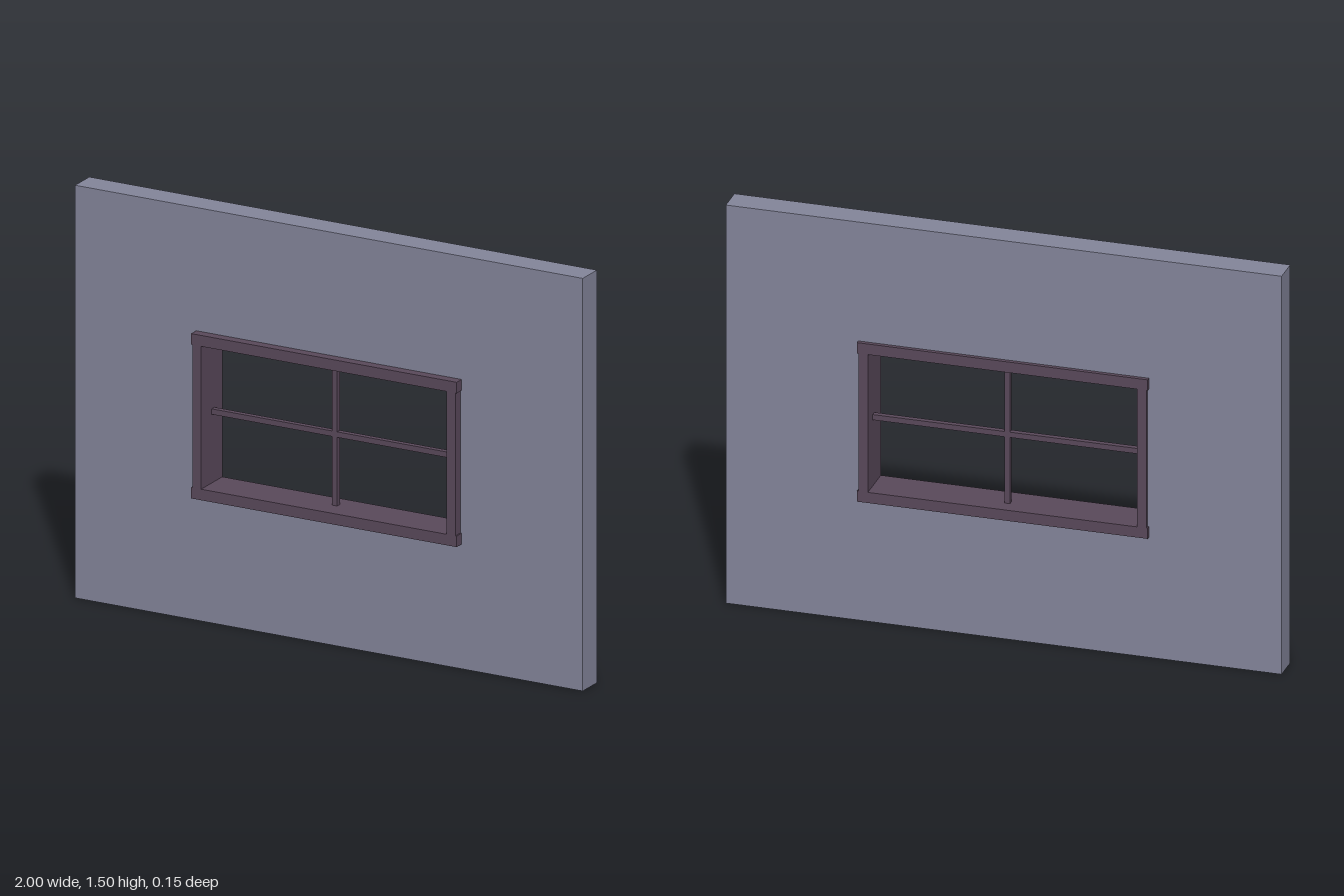
import * as THREE from 'three';

export function createModel() {
  const model = new THREE.Group();
  const wallPaint = new THREE.MeshStandardMaterial({ color: 0x84869b });
  wallPaint.name = 'grey blue wall';
  const frameWood = new THREE.MeshStandardMaterial({ color: 0x5a495b });
  frameWood.name = 'dark plum frame';

  // Rectangle traced as a shape or hole
  const rect = (path, x, y0, y1) =>
    path.moveTo(-x, y0).lineTo(x, y0).lineTo(x, y1).lineTo(-x, y1).closePath();

  const add = (name, geometry, material) => {
    const mesh = new THREE.Mesh(geometry, material);
    mesh.name = name;
    model.add(mesh);
    return mesh;
  };
  const box = (name, w, h, d, x, y, z) =>
    add(name, new THREE.BoxGeometry(w, h, d), frameWood).position.set(x, y, z);

  // Wall slab with the window opening
  const outline = rect(new THREE.Shape(), 1, 0, 1.5);
  outline.holes.push(rect(new THREE.Path(), 0.5, 0.475, 1.03));
  const wall = new THREE.ExtrudeGeometry(outline, { depth: 0.1, bevelEnabled: false });
  wall.translate(0, 0, -0.06);
  add('wall', wall, wallPaint);

  // Top and bottom rails run the full frame width
  const depth = 0.15;
  box('topRail', 1.046, 0.04, depth, 0, 1.032, 0);
  box('bottomRail', 1.046, 0.04, depth, 0, 0.473, 0);

  // Side stiles sit slightly inside the rail ends
  for (const side of [-1, 1]) {
    box(side > 0 ? 'leftStile' : 'rightStile', 0.034, 0.519, depth, side * 0.501, 0.7525, 0);
  }

  // Crossed glazing bars in the middle of the wall thickness
  box('verticalBar', 0.02, 0.519, 0.02, 0, 0.7525, -0.01);
  box('horizontalBar', 0.968, 0.02, 0.02, 0, 0.7525, -0.01);

  return model;
}
